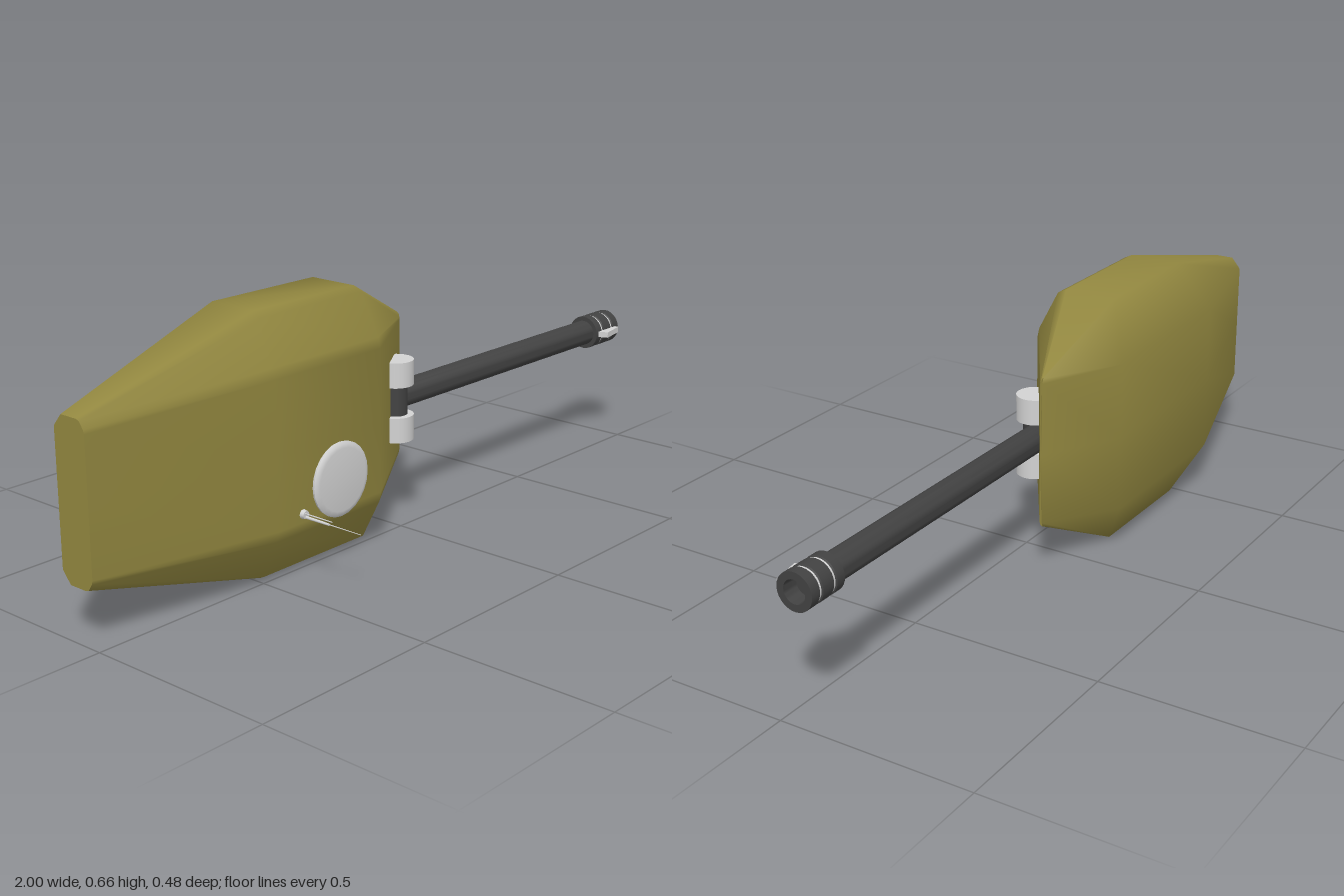
import * as THREE from 'three';
import { toCreasedNormals } from 'three/addons/utils/BufferGeometryUtils.js';

const olive = new THREE.MeshStandardMaterial({ color: 0x938840 });
olive.name = 'olive armour';
const dark = new THREE.MeshStandardMaterial({ color: 0x424242 });
dark.name = 'dark gunmetal';
const grey = new THREE.MeshStandardMaterial({ color: 0xd2d2d2 });
grey.name = 'light grey metal';

const MID = 0.331; // height of the turret's plane of symmetry
const GUN_Z = -0.06;

function add(group, name, geometry, material, x = 0, y = 0, z = 0) {
  const mesh = new THREE.Mesh(geometry, material);
  mesh.name = name;
  mesh.position.set(x, y, z);
  group.add(mesh);
  return mesh;
}

// Lathe with sharp edges, its axis turned to x or z
function turned(points, axis, sides = 28) {
  const g = new THREE.LatheGeometry(points.map(p => new THREE.Vector2(...p)), sides);
  if (axis === 'x') g.rotateZ(-Math.PI / 2);
  if (axis === 'z') g.rotateX(Math.PI / 2);
  return toCreasedNormals(g, 0.6);
}

// Half sections [x, half width, z] from roof centre round to floor centre
const stations = [
  [[-1, 0, -0.01], [-1, 0.165, -0.01], [-1, 0.175, -0.013], [-1, 0.192, -0.025],
    [-1, 0.195, -0.035], [-1, 0.195, -0.085], [-1, 0.165, -0.11], [-1, 0, -0.11]],
  [[-0.5, 0, 0.055], [-0.5, 0.185, 0.055], [-0.5, 0.212, 0.049], [-0.49, 0.317, -0.006],
    [-0.48, 0.33, -0.03], [-0.48, 0.33, -0.168], [-0.54, 0.196, -0.24], [-0.54, 0, -0.24]],
  [[-0.14, 0, 0.055], [-0.14, 0.185, 0.055], [-0.14, 0.212, 0.049], [-0.14, 0.317, -0.006],
    [-0.14, 0.329, -0.03], [-0.14, 0.329, -0.168], [-0.06, 0.196, -0.24], [-0.06, 0, -0.24]],
  [[0.135, 0, -0.122], [0.135, 0.175, -0.122], [0.135, 0.182, -0.122], [0.134, 0.19, -0.123],
    [0.128, 0.197, -0.124], [0.128, 0.197, -0.127], [0.135, 0.185, -0.128], [0.135, 0, -0.128]],
];

function ringOf(half) {
  const mirrored = half.slice(1, -1).reverse().map(([x, h, z]) => [x, -h, z]);
  return [...half, ...mirrored].map(([x, h, z]) => [x, MID + h, z]);
}

function buildGeometry(points, index) {
  const g = new THREE.BufferGeometry();
  g.setAttribute('position', new THREE.Float32BufferAttribute(points.flat(), 3));
  g.setIndex(index);
  g.computeVertexNormals();
  return g;
}

function hullShell(rings) {
  const n = rings[0].length;
  const index = [];
  for (let s = 0; s < rings.length - 1; s++) {
    for (let i = 0; i < n; i++) {
      const j = (i + 1) % n;
      const a = s * n + i, b = s * n + j;
      index.push(a, a + n, b, b, a + n, b + n);
    }
  }
  return buildGeometry(rings.flat(), index);
}

function cap(ring, flip) {
  const index = [];
  for (let i = 1; i < ring.length - 1; i++) {
    index.push(0, ...(flip ? [i + 1, i] : [i, i + 1]));
  }
  return buildGeometry(ring, index);
}

export function createModel() {
  const model = new THREE.Group();
  model.name = 'turret';

  // Armoured shell with a wedge nose and a flat rear
  const rings = stations.map(ringOf);
  add(model, 'hullShell', hullShell(rings), olive);
  add(model, 'rearPlate', cap(rings[0], false), olive);
  add(model, 'noseEdge', cap(rings[rings.length - 1], true), olive);

  // Mantlet: two light drums either side of a dark trunnion
  for (const side of [-1, 1]) {
    const drum = new THREE.CylinderGeometry(0.047, 0.047, 0.066, 28);
    add(model, 'mantletDrum', drum, grey, 0.028, MID + side * 0.073, -0.042);
  }
  add(model, 'trunnion', new THREE.CylinderGeometry(0.032, 0.032, 0.085, 20), dark, 0.03, MID, -0.045);

  // Gun
  const gun = new THREE.Group();
  gun.name = 'gun';
  gun.position.set(0, MID, GUN_Z);
  model.add(gun);
  add(gun, 'barrel', turned([[0, 0.03], [0.025, 0.03], [0.035, 0.045], [0.035, 0.9]], 'x'), dark);
  add(gun, 'muzzle', turned([
    [0.034, 0.89], [0.047, 0.89], [0.047, 0.915], [0.042, 0.918], [0.042, 0.924], [0.047, 0.927],
    [0.047, 0.962], [0.042, 0.965], [0.042, 0.971], [0.047, 0.974], [0.047, 1],
    [0.029, 1], [0.027, 0.96], [0, 0.96],
  ], 'x'), dark);
  for (const x of [0.921, 0.968]) {
    const band = new THREE.CylinderGeometry(0.0445, 0.0445, 0.005, 28, 1, true);
    band.rotateZ(Math.PI / 2);
    add(gun, 'muzzleBand', band, grey, x);
  }

  // Sighting block on top of the muzzle, sloping down toward the tip
  const block = new THREE.Shape([
    [0.895, 0.035], [0.985, 0.035], [0.985, 0.058], [0.91, 0.072],
  ].map(p => new THREE.Vector2(...p)));
  const blockGeometry = new THREE.ExtrudeGeometry(block, { depth: 0.016, bevelEnabled: false });
  blockGeometry.translate(0, 0, -0.008).rotateX(Math.PI / 2);
  add(gun, 'sightBlock', blockGeometry, grey);

  // Roof hatch
  add(model, 'hatch', turned([
    [0.094, 0], [0.095, 0.007], [0.089, 0.012], [0.08, 0.0135], [0, 0.0135],
  ], 'z', 24), grey, -0.29, 0.222, 0.054);

  // Aerials: a stubby base, a thick rod and two thin rods
  const aerials = [
    ['aerialBase', 0.01, 0.012, 0.012, -0.418, 0.168],
    ['aerialRod', 0.003, 0.004, 0.085, -0.418, 0.162],
    ['aerialWhip', 0.0008, 0.0018, 0.185, -0.418, 0.162],
    ['shortWhip', 0.0012, 0.0018, 0.098, -0.421, 0.172],
  ];
  for (const [name, tip, foot, length, x, y] of aerials) {
    const rod = new THREE.CylinderGeometry(tip, foot, length, 12);
    rod.rotateX(Math.PI / 2);
    add(model, name, rod, grey, x, y, 0.054 + length / 2);
  }

  return model;
}
